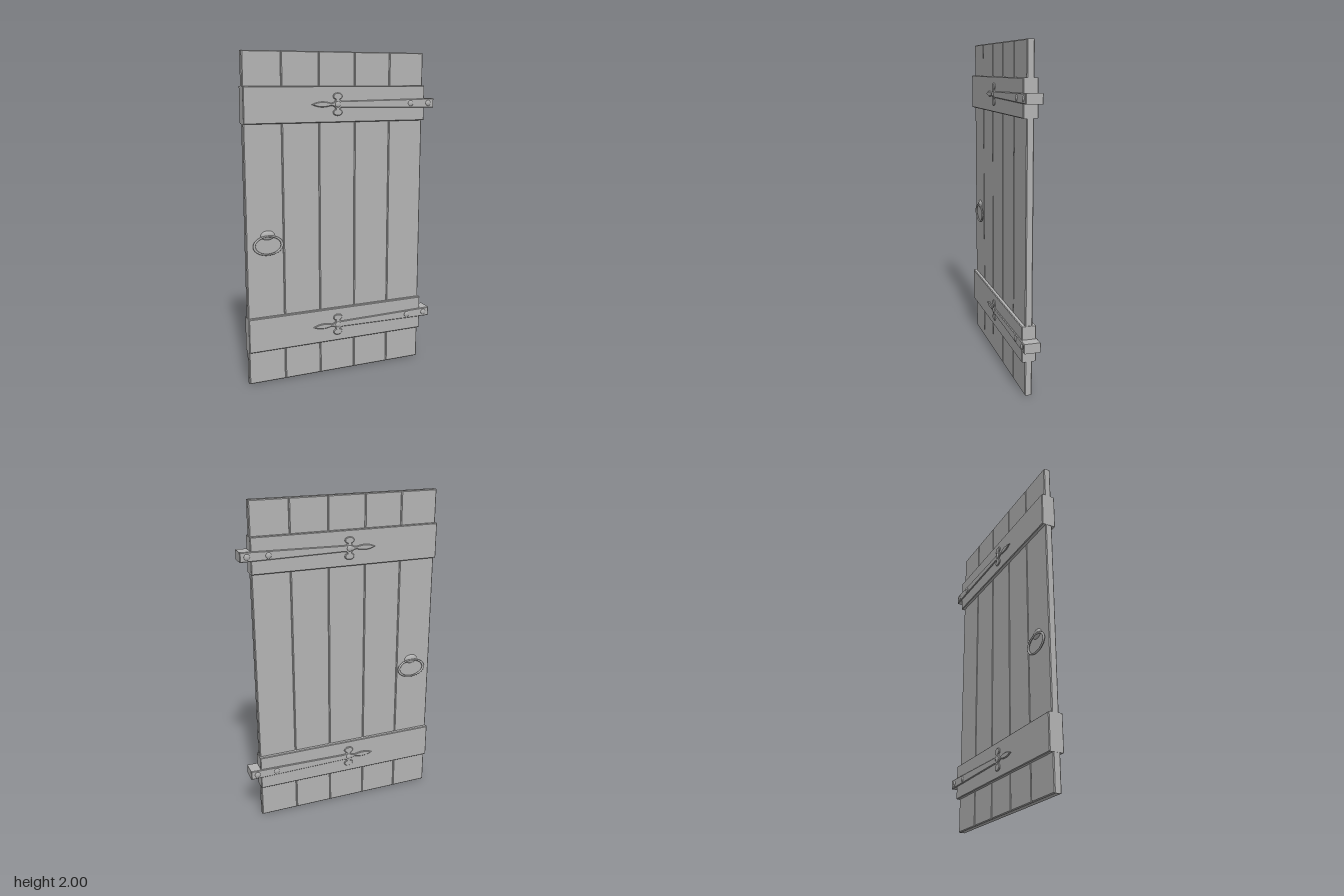
import * as THREE from 'three';

const iron = new THREE.MeshStandardMaterial({ color: 0xb3b3b3 });
iron.name = 'plain grey';

function mesh(name, geometry, x = 0, y = 0, z = 0) {
  const m = new THREE.Mesh(geometry, iron);
  m.name = name;
  m.position.set(x, y, z);
  return m;
}

// Extrudes a shape centred on z = 0, with a chamfer kept inside the outline
function slab(shape, thickness, bevel) {
  const g = new THREE.ExtrudeGeometry(shape, {
    depth: thickness - 2 * bevel, curveSegments: 8,
    bevelEnabled: true, bevelSize: bevel, bevelThickness: bevel, bevelOffset: -bevel, bevelSegments: 1,
  });
  return g.translate(0, 0, -thickness / 2 + bevel);
}

function board(x0, x1, y0, y1, thickness, bevel) {
  const s = new THREE.Shape();
  s.moveTo(x0, y0).lineTo(x1, y0).lineTo(x1, y1).lineTo(x0, y1).closePath();
  return slab(s, thickness, bevel);
}

// Strap hinge outline: tapered bar, two side lobes and a leaf-shaped tip
function hingeShape() {
  const s = new THREE.Shape();
  s.moveTo(0.615, -0.029);
  s.lineTo(0.615, 0.029);
  s.lineTo(0.0, 0.019);
  s.quadraticCurveTo(-0.024, 0.018, -0.027, 0.029);
  s.bezierCurveTo(-0.002, 0.036, -0.006, 0.068, -0.041, 0.068);
  s.bezierCurveTo(-0.076, 0.068, -0.08, 0.036, -0.055, 0.029);
  s.quadraticCurveTo(-0.057, 0.01, -0.085, 0.008);
  s.bezierCurveTo(-0.13, 0.022, -0.17, 0.018, -0.207, 0);
  s.bezierCurveTo(-0.17, -0.018, -0.13, -0.022, -0.085, -0.008);
  s.quadraticCurveTo(-0.057, -0.01, -0.055, -0.029);
  s.bezierCurveTo(-0.08, -0.036, -0.076, -0.068, -0.041, -0.068);
  s.bezierCurveTo(-0.006, -0.068, -0.002, -0.036, -0.027, -0.029);
  s.quadraticCurveTo(-0.024, -0.018, 0.0, -0.019);
  s.closePath();
  return s;
}

function createHinge(y) {
  const g = new THREE.Group();
  g.name = 'hinge';
  g.position.y = y;
  // The strap runs through the door so it shows on both faces
  g.add(mesh('hingeStrap', slab(hingeShape(), 0.1, 0.004)));
  for (const side of [1, -1]) {
    for (const x of [-0.041, 0.45, 0.575]) {
      const rivet = mesh('rivet', new THREE.SphereGeometry(0.018, 12, 8), x, 0, side * 0.049);
      rivet.scale.z = 0.4;
      g.add(rivet);
    }
  }
  return g;
}

function createHandle(side) {
  const g = new THREE.Group();
  g.name = side > 0 ? 'frontHandle' : 'backHandle';
  g.position.set(-0.485, 0.867, 0);
  // Oval pull ring
  const ring = mesh('pullRing', new THREE.TorusGeometry(1, 0.1, 8, 40), 0, 0, side * 0.031);
  ring.geometry.scale(0.087, 0.056, 0.06);
  g.add(ring);
  // Rounded mount that holds the top of the ring
  const mount = mesh('ringMount', new THREE.SphereGeometry(1, 20, 12), 0, 0.06, side * 0.019);
  mount.scale.set(0.045, 0.029, 0.014);
  g.add(mount);
  return g;
}

export function createModel() {
  const door = new THREE.Group();
  door.name = 'plankDoor';

  // Five upright planks with chamfered joints
  const left = -0.617, width = 0.2328;
  for (let i = 0; i < 5; i++) {
    const x = left + i * width;
    door.add(mesh('plank', board(x, x + width, 0, 2, 0.043, 0.005)));
  }

  // Cross braces with their hinges
  for (const y of [0.315, 1.693]) {
    door.add(mesh('brace', board(-0.619, 0.551, y - 0.107, y + 0.107, 0.086, 0.004)));
    door.add(createHinge(y));
  }

  // Ring handles on both faces
  door.add(createHandle(1), createHandle(-1));
  return door;
}
